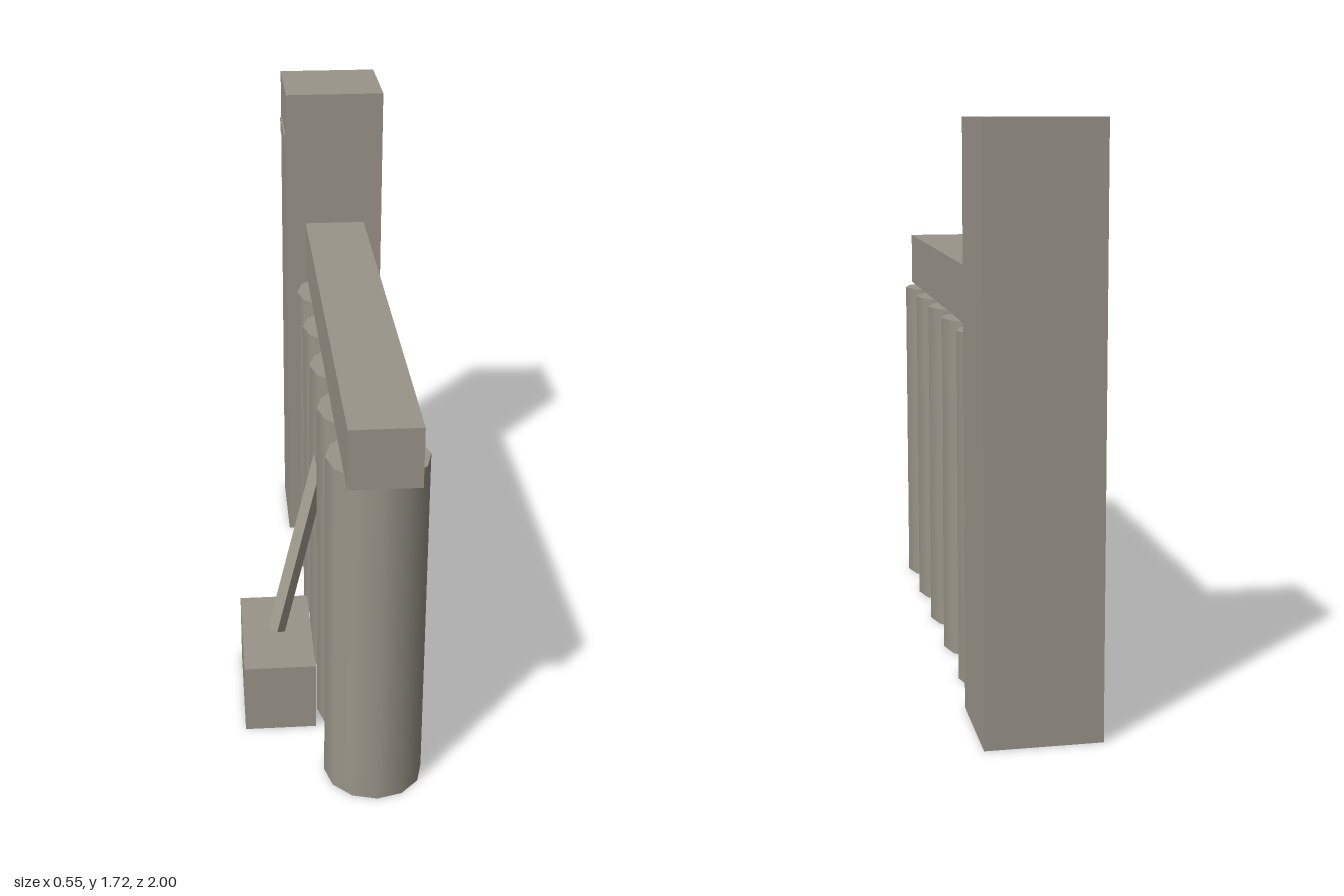
import * as THREE from 'three';

export function createModel() {
  const model = new THREE.Group();
  const stone = new THREE.MeshStandardMaterial({ color: 0x9a9589 });
  stone.name = 'warm grey stone';

  const add = (name, geometry, x = 0, y = 0, z = 0) => {
    const mesh = new THREE.Mesh(geometry, stone);
    mesh.name = name;
    mesh.position.set(x, y, z);
    model.add(mesh);
    return mesh;
  };

  // Box given by its lower and upper corners
  const addBox = (name, [x0, y0, z0], [x1, y1, z1]) =>
    add(name, new THREE.BoxGeometry(x1 - x0, y1 - y0, z1 - z0),
      (x0 + x1) / 2, (y0 + y1) / 2, (z0 + z1) / 2);

  // Tall tower at the back with a shallow bar on its right side
  addBox('tower', [-0.062, 0, -1], [0.275, 1.715, -0.665]);
  addBox('towerBar', [-0.068, 1.515, -0.947], [-0.061, 1.56, -0.72]);

  // Row of smooth twelve-sided columns
  const columnHeight = 1.085;
  const columnGeometry = new THREE.CylinderGeometry(0.149, 0.149, columnHeight, 12);
  for (let i = 0; i < 5; i++) {
    add('column' + (i + 1), columnGeometry, 0.107, columnHeight / 2, 0.803 - i * 0.3065);
  }

  // Beam resting on the columns
  addBox('beam', [0.002, columnHeight, -0.623], [0.208, 1.265, 1]);

  // Low block and the square strut leaning from it into the columns
  addBox('block', [-0.275, 0, 0.18], [-0.052, 0.23, 0.588]);
  const foot = new THREE.Vector3(-0.165, 0.24, 0.39);
  const head = new THREE.Vector3(0, 0.8, 0.225);
  const middle = foot.clone().lerp(head, 0.5);
  const strut = add('strut', new THREE.BoxGeometry(0.04, 0.04, foot.distanceTo(head)),
    middle.x, middle.y, middle.z);
  strut.lookAt(head);

  return model;
}
